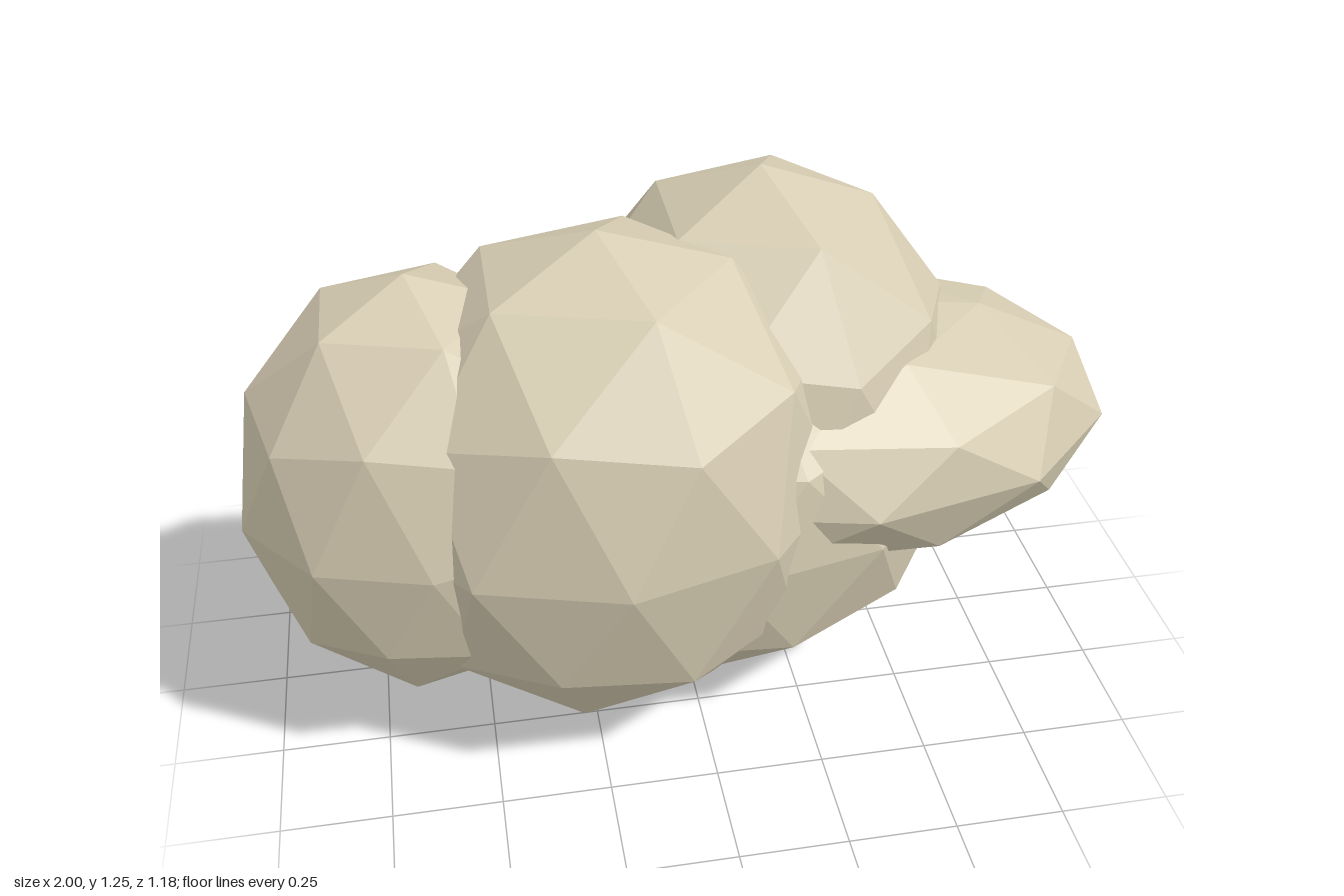
import * as THREE from 'three';

// Faceted puff: icosphere with a vertex at each pole, stretched along the axes
function makePuff(radii) {
  const geometry = new THREE.IcosahedronGeometry(1, 1);
  geometry.rotateZ(Math.atan(2 / (1 + Math.sqrt(5)))); // bring a corner to the top
  geometry.rotateY(Math.PI); // upper ring corner faces +x
  geometry.scale(...radii);
  geometry.computeVertexNormals();
  return geometry;
}

export function createModel() {
  const group = new THREE.Group();
  group.name = 'cloud';

  const beige = new THREE.MeshStandardMaterial({ color: 0xd6ccb2, flatShading: true });
  beige.name = 'warm beige';

  // Overlapping puffs: name, centre, radii
  const puffs = [
    ['rightPuff', [-0.6, 0.64, 0.1], [0.42, 0.53, 0.37]],
    ['frontPuff', [-0.2, 0.63, 0.12], [0.55, 0.615, 0.47]],
    ['backPuff', [0.2, 0.63, -0.11], [0.5, 0.625, 0.485]],
    ['lowerPuff', [0.04, 0.53, 0.06], [0.6, 0.5, 0.405]],
    ['leftFlatPuff', [0.36, 0.65, -0.02], [0.673, 0.295, 0.465]],
  ];

  for (const [name, centre, radii] of puffs) {
    const mesh = new THREE.Mesh(makePuff(radii), beige);
    mesh.name = name;
    mesh.position.set(centre[0], centre[1] - 0.005, centre[2]);
    group.add(mesh);
  }
  return group;
}
